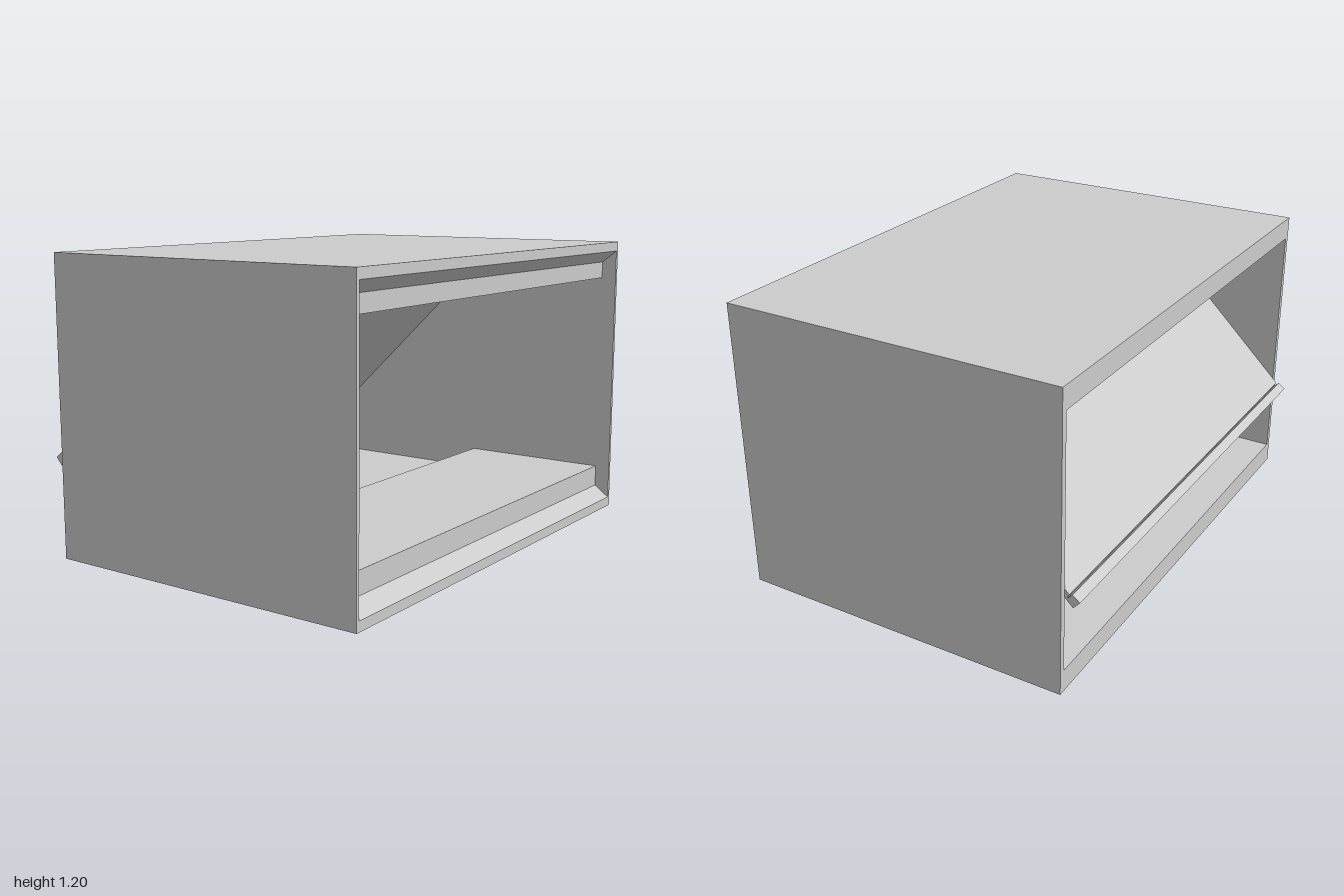
import * as THREE from 'three';

const material = new THREE.MeshStandardMaterial({ color: 0xcccccc, flatShading: true });

// Skin a closed chain of rectangular rings [x, yLow, yHigh, halfZ] into a tube-like shell
function ringShell(rings) {
  const pos = [];
  const corners = ([x, lo, hi, z]) => [[x, lo, z], [x, lo, -z], [x, hi, -z], [x, hi, z]];
  rings.forEach((ring, i) => {
    const a = corners(ring);
    const b = corners(rings[(i + 1) % rings.length]);
    for (let k = 0; k < 4; k++) {
      const n = (k + 1) % 4;
      pos.push(...a[k], ...a[n], ...b[n], ...a[k], ...b[n], ...b[k]);
    }
  });
  const g = new THREE.BufferGeometry();
  g.setAttribute('position', new THREE.Float32BufferAttribute(pos, 3));
  g.computeVertexNormals();
  return g;
}

// Extrude an x/y profile across the width of the case
function prism(points, width) {
  const shape = new THREE.Shape(points.map(([x, y]) => new THREE.Vector2(x, y)));
  const g = new THREE.ExtrudeGeometry(shape, { depth: width, bevelEnabled: false });
  return g.translate(0, 0, -width / 2);
}

export function createModel() {
  const model = new THREE.Group();
  model.name = 'openCabinet';
  const add = (name, geometry) => {
    const mesh = new THREE.Mesh(geometry, material);
    mesh.name = name;
    model.add(mesh);
  };
  const inner = 1.95;

  // Hollow case, open at both x ends, with a bevelled mouth on the +x end
  add('case', ringShell([
    [-0.67, 0, 1.2, 1],
    [0.73, 0, 1.2, 1],
    [0.73, 0.04, 1.16, 0.985],
    [0.67, 0.09, 1.11, 0.975],
    [-0.67, 0.09, 1.11, 0.975],
  ]));

  // Raised floor and lowered ceiling behind the mouth
  add('raisedFloor', prism([[0.03, 0.09], [0.67, 0.09], [0.67, 0.18], [0.03, 0.18]], inner));
  add('ceilingSlab', prism([[0.01, 1.04], [0.67, 1.04], [0.67, 1.11], [0.01, 1.11]], inner));

  // Sloping door panel, running from the ceiling slab out past the -x opening
  add('slopingDoor', prism([[-0.688, 0.417], [-0.677, 0.392], [0.01, 1.06], [0.01, 1.1]], inner));

  // Square handle bar along the lower edge of the door
  add('doorHandle', prism([[-0.73, 0.397], [-0.703, 0.367], [-0.675, 0.394], [-0.7, 0.42]], inner));

  return model;
}
